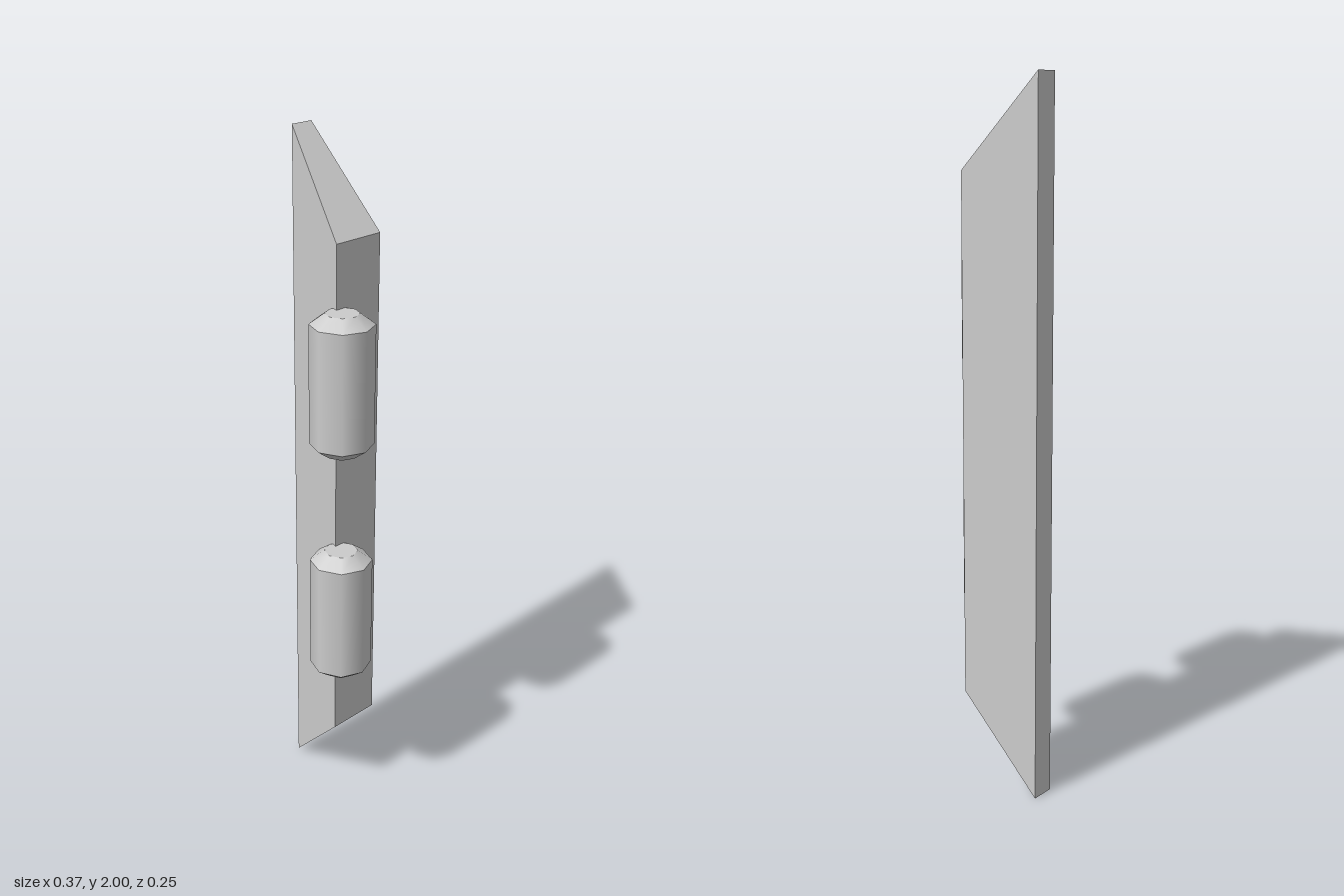
import * as THREE from 'three';
import { mergeGeometries } from 'three/addons/utils/BufferGeometryUtils.js';

const material = new THREE.MeshStandardMaterial({ color: 0xcccccc });

// Wedge-shaped plate: thin and full height at -x, thicker and shorter at +x
function platePart() {
  const geo = new THREE.BoxGeometry(1, 1, 1);
  const pos = geo.attributes.position;
  for (let i = 0; i < pos.count; i++) {
    const thick = pos.getX(i) > 0;
    const top = pos.getY(i) > 0;
    const front = pos.getZ(i) > 0;
    const y = thick ? (top ? 1.747 : 0.26) : (top ? 2 : 0);
    const z = front ? (thick ? 0.034 : -0.057) : -0.128;
    pos.setXYZ(i, thick ? 0.07 : -0.185, y, z);
  }
  geo.computeVertexNormals();
  const mesh = new THREE.Mesh(geo, material);
  mesh.name = 'plate';
  return mesh;
}

// Eight-sided hinge barrel with chamfered ends, smooth around its side
function barrelGeometry() {
  const r = 0.088, capR = 0.047, height = 0.397, chamfer = 0.03, sides = 8;
  const body = height - 2 * chamfer;
  const endY = (body + chamfer) / 2;
  return mergeGeometries([
    new THREE.CylinderGeometry(r, r, body, sides, 1, true),
    new THREE.CylinderGeometry(capR, r, chamfer, sides, 1, true).translate(0, endY, 0),
    new THREE.CylinderGeometry(r, capR, chamfer, sides, 1, true).translate(0, -endY, 0),
    new THREE.CircleGeometry(capR, sides).rotateX(-Math.PI / 2).translate(0, height / 2, 0),
    new THREE.CircleGeometry(capR, sides).rotateX(Math.PI / 2).translate(0, -height / 2, 0),
  ]);
}

export function createModel() {
  const model = new THREE.Group();
  model.name = 'hingedPlate';
  model.add(platePart());

  // Two barrels on the thick front edge
  const geo = barrelGeometry();
  [['lowerBarrel', 0.68], ['upperBarrel', 1.374]].forEach(([name, y]) => {
    const barrel = new THREE.Mesh(geo, material);
    barrel.name = name;
    barrel.position.set(0.096, y, 0.038);
    model.add(barrel);
  });
  return model;
}
